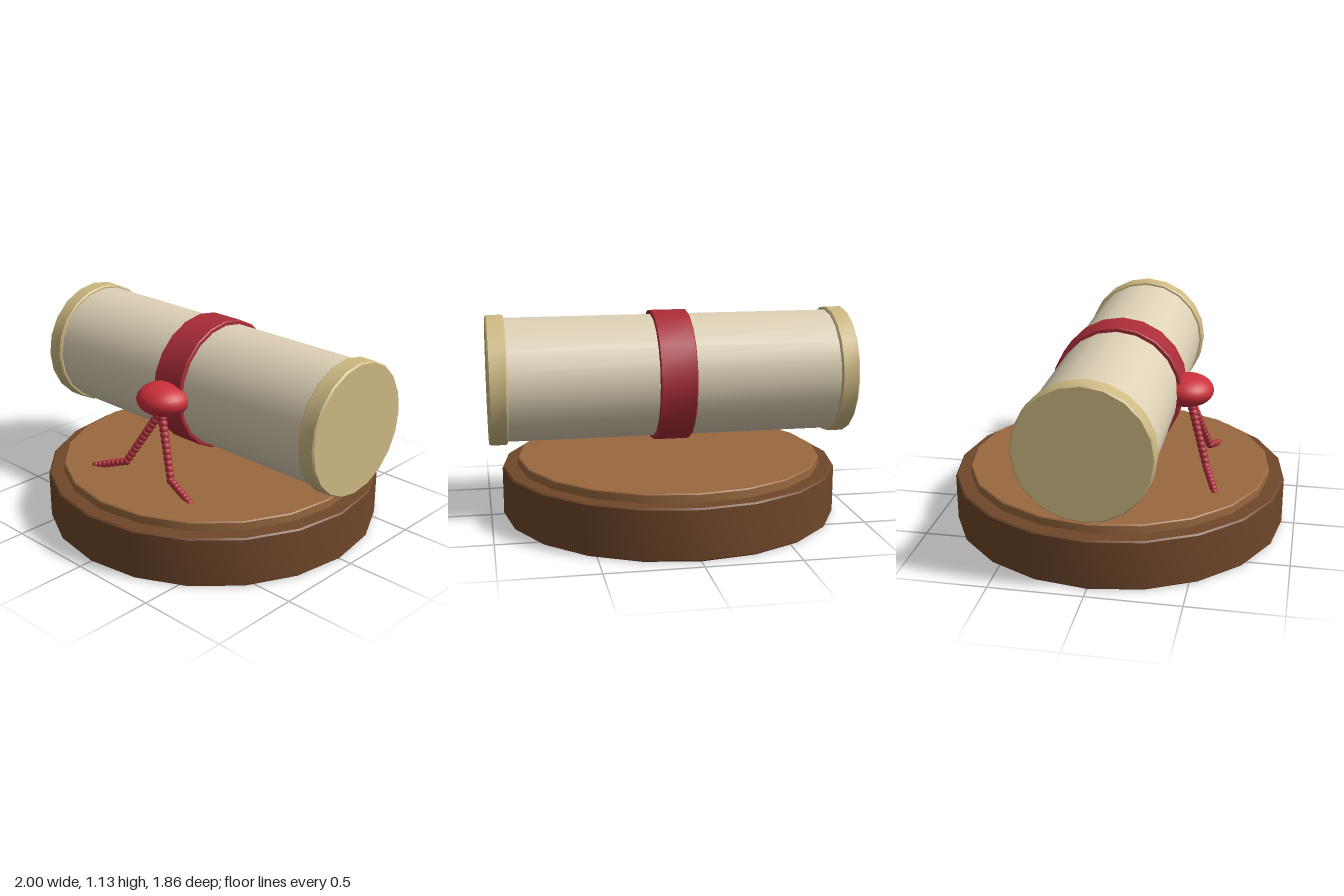
import * as THREE from 'three';
import { toCreasedNormals } from 'three/addons/utils/BufferGeometryUtils.js';

const SIDES = 20;
const AXIS_Y = 0.764; // height of the scroll's axis

const material = (name, color) => {
  const m = new THREE.MeshStandardMaterial({ color });
  m.name = name;
  return m;
};

// Solid disc with slightly bevelled rims, running from y0 to y1
function bevelledDisc(radius, y0, y1, bevel) {
  const profile = [
    [0, y0], [radius - bevel, y0], [radius, y0 + bevel],
    [radius, y1 - bevel], [radius - bevel, y1], [0, y1],
  ].map(([r, y]) => new THREE.Vector2(r, y));
  return toCreasedNormals(new THREE.LatheGeometry(profile, SIDES), 0.6);
}

export function createModel() {
  const model = new THREE.Group();
  model.name = 'scrollOnStand';

  const darkWood = material('dark wood', 0x70472a);
  const lightWood = material('light wood', 0x9a693f);
  const parchment = material('parchment', 0xddd1b6);
  const endTan = material('end cap tan', 0xcdb983);
  const ribbonRed = material('ribbon red', 0xaa2d38);
  const knotRed = material('knot red', 0xcc2f3a);

  const add = (parent, name, geometry, mat) => {
    const mesh = new THREE.Mesh(geometry, mat);
    mesh.name = name;
    parent.add(mesh);
    return mesh;
  };

  // Round wooden stand
  add(model, 'standBase', bevelledDisc(0.93, 0, 0.275, 0.008), darkWood);
  add(model, 'standTop', bevelledDisc(0.845, 0.26, 0.324, 0.006), lightWood);

  // Rolled scroll lying along x
  const scroll = new THREE.Group();
  scroll.name = 'scroll';
  scroll.position.y = AXIS_Y;
  scroll.rotation.z = -Math.PI / 2;
  model.add(scroll);
  add(scroll, 'parchmentRoll', bevelledDisc(0.339, -0.95, 0.95, 0.004), parchment);
  add(scroll, 'leftEndCap', bevelledDisc(0.356, 0.9, 1, 0.008), endTan);
  add(scroll, 'rightEndCap', bevelledDisc(0.356, -1, -0.9, 0.008), endTan);
  add(scroll, 'ribbonBand', bevelledDisc(0.362, -0.1, 0.1, 0.005), ribbonRed);

  // Knot on the front of the ribbon
  const knot = add(model, 'knot', new THREE.SphereGeometry(1, 24, 16), knotRed);
  knot.scale.set(0.15, 0.088, 0.145);
  knot.position.set(0, AXIS_Y, 0.378);

  // Two beaded cords that hang from the knot and bend out over the stand
  const bead = new THREE.SphereGeometry(1, 12, 8);
  const cords = {
    rightCord: [[-0.005, 0.69, 0.4], [-0.165, 0.385, 0.51], [-0.35, 0.322, 0.577]],
    leftCord: [[0.005, 0.69, 0.4], [0.165, 0.375, 0.495], [0.34, 0.318, 0.53]],
  };
  for (const [name, points] of Object.entries(cords)) {
    const cord = new THREE.Group();
    cord.name = name;
    model.add(cord);
    const [top, bend, end] = points.map((p) => new THREE.Vector3(...p));
    const upper = 12, lower = 7;
    for (let i = 0; i <= upper + lower; i++) {
      const b = add(cord, 'bead', bead, ribbonRed);
      if (i <= upper) b.position.lerpVectors(top, bend, i / upper);
      else b.position.lerpVectors(bend, end, (i - upper) / lower);
      b.scale.setScalar(0.026 - 0.006 * i / (upper + lower));
    }
  }
  return model;
}
